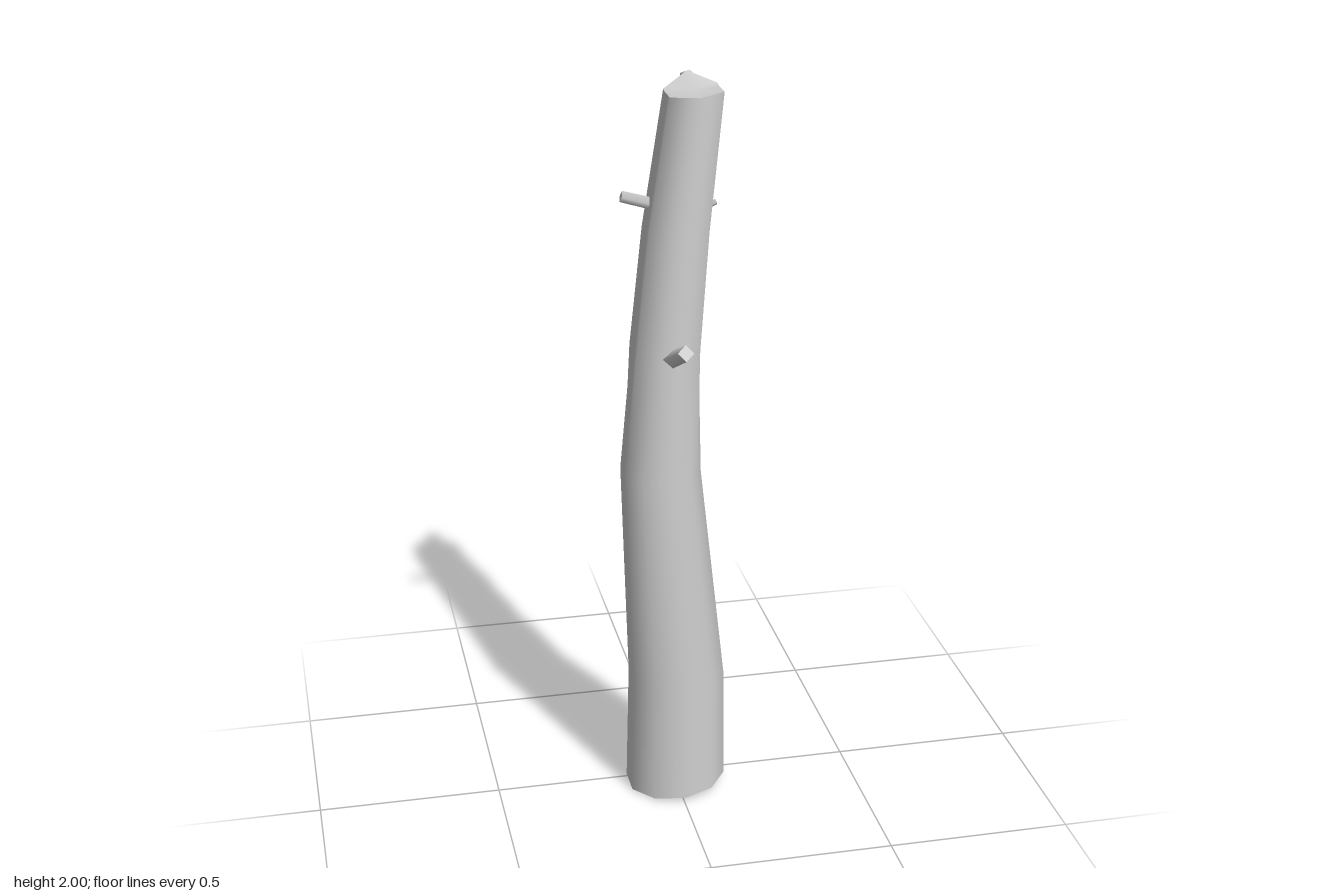
import * as THREE from 'three';

const material = new THREE.MeshStandardMaterial({ color: 0xcccccc });
const SEGMENTS = 30;

// Trunk cross-sections from the ground up: [x, y, z, radius, corners]
const SECTIONS = [
  [0.002, 0.012, 0.03, 0.139, 10],
  [0.002, 0.35, 0.043, 0.133, 10],
  [-0.033, 0.95, 0.005, 0.109, 10],
  [-0.011, 1.28, -0.042, 0.099, 6],
  [0.022, 1.6, -0.06, 0.093, 6],
  [0.067, 1.966, -0.049, 0.082, 6],
];

// Points of one ring, following a regular polygon with corners at front and back
function ring([cx, cy, cz, radius, corners], level) {
  const step = (2 * Math.PI) / corners;
  return Array.from({ length: SEGMENTS + 1 }, (_, i) => {
    const turn = (i / SEGMENTS) * 2 * Math.PI;
    const local = (turn + 1e-6) % step;
    const r = (radius * Math.cos(step / 2)) / Math.cos(local - step / 2);
    const a = turn + Math.PI / 2;
    const p = new THREE.Vector3(cx + r * Math.cos(a), cy, cz + r * Math.sin(a));
    // slanted cut at the foot, splintered point at the back of the top
    if (level === 0) p.y += 0.09 * p.x;
    if (level === SECTIONS.length - 1) {
      p.y += 0.06 * (p.x - cx) + 0.034 * Math.max(0, (-p.z - 0.085) / 0.046);
    }
    return p;
  });
}

function makeMesh(name, points, normals, index) {
  const geometry = new THREE.BufferGeometry().setFromPoints(points);
  geometry.setIndex(index);
  if (normals) {
    geometry.setAttribute('normal', new THREE.Float32BufferAttribute(normals.flatMap((n) => n.toArray()), 3));
  } else {
    geometry.computeVertexNormals();
  }
  const mesh = new THREE.Mesh(geometry, material);
  mesh.name = name;
  return mesh;
}

// Bark surface lofted through the rings with round, smooth shading
function makeTrunk(rings) {
  const index = [];
  const normals = [];
  const row = SEGMENTS + 1;
  rings.forEach((points, level) => {
    for (let i = 0; i <= SEGMENTS; i++) {
      const a = (i / SEGMENTS) * 2 * Math.PI + Math.PI / 2;
      normals.push(new THREE.Vector3(Math.cos(a), 0.05, Math.sin(a)).normalize());
      if (level < rings.length - 1 && i < SEGMENTS) {
        const k = level * row + i;
        index.push(k, k + row, k + 1, k + 1, k + row, k + row + 1);
      }
    }
  });
  return makeMesh('trunk', rings.flat(), normals, index);
}

// Cut end, a fan around the section centre
function makeCap(name, points, section, up) {
  const centre = new THREE.Vector3(section[0], section[1], section[2]);
  const index = [];
  for (let i = 1; i <= SEGMENTS; i++) index.push(0, ...(up ? [i + 1, i] : [i, i + 1]));
  return makeMesh(name, [centre, ...points], null, index);
}

// Four-sided broken branch between two points
function makeStub(name, from, to, radius) {
  const a = new THREE.Vector3(...from);
  const b = new THREE.Vector3(...to);
  const direction = b.clone().sub(a);
  const mesh = new THREE.Mesh(
    new THREE.CylinderGeometry(radius, radius * 1.1, direction.length(), 4),
    material
  );
  mesh.position.copy(a).add(b).multiplyScalar(0.5);
  mesh.quaternion.setFromUnitVectors(new THREE.Vector3(0, 1, 0), direction.normalize());
  mesh.name = name;
  return mesh;
}

export function createModel() {
  const group = new THREE.Group();
  group.name = 'deadTreeTrunk';
  const rings = SECTIONS.map(ring);
  const last = SECTIONS.length - 1;
  group.add(
    makeTrunk(rings),
    makeCap('bottomCut', rings[0], SECTIONS[0], false),
    makeCap('topCut', rings[last], SECTIONS[last], true),
    makeStub('frontBranch', [-0.012, 1.265, 0.02], [0, 1.34, 0.173], 0.022),
    makeStub('rightBranch', [-0.02, 1.664, -0.068], [-0.12, 1.693, -0.072], 0.015),
    makeStub('topBranch', [0.06, 1.92, -0.1], [0.078, 1.98, -0.17], 0.021),
    makeStub('backTwig', [-0.011, 1.26, -0.12], [-0.011, 1.268, -0.156], 0.008),
    makeStub('leftTwig', [0.09, 1.652, -0.058], [0.13, 1.668, -0.058], 0.008)
  );
  return group;
}
